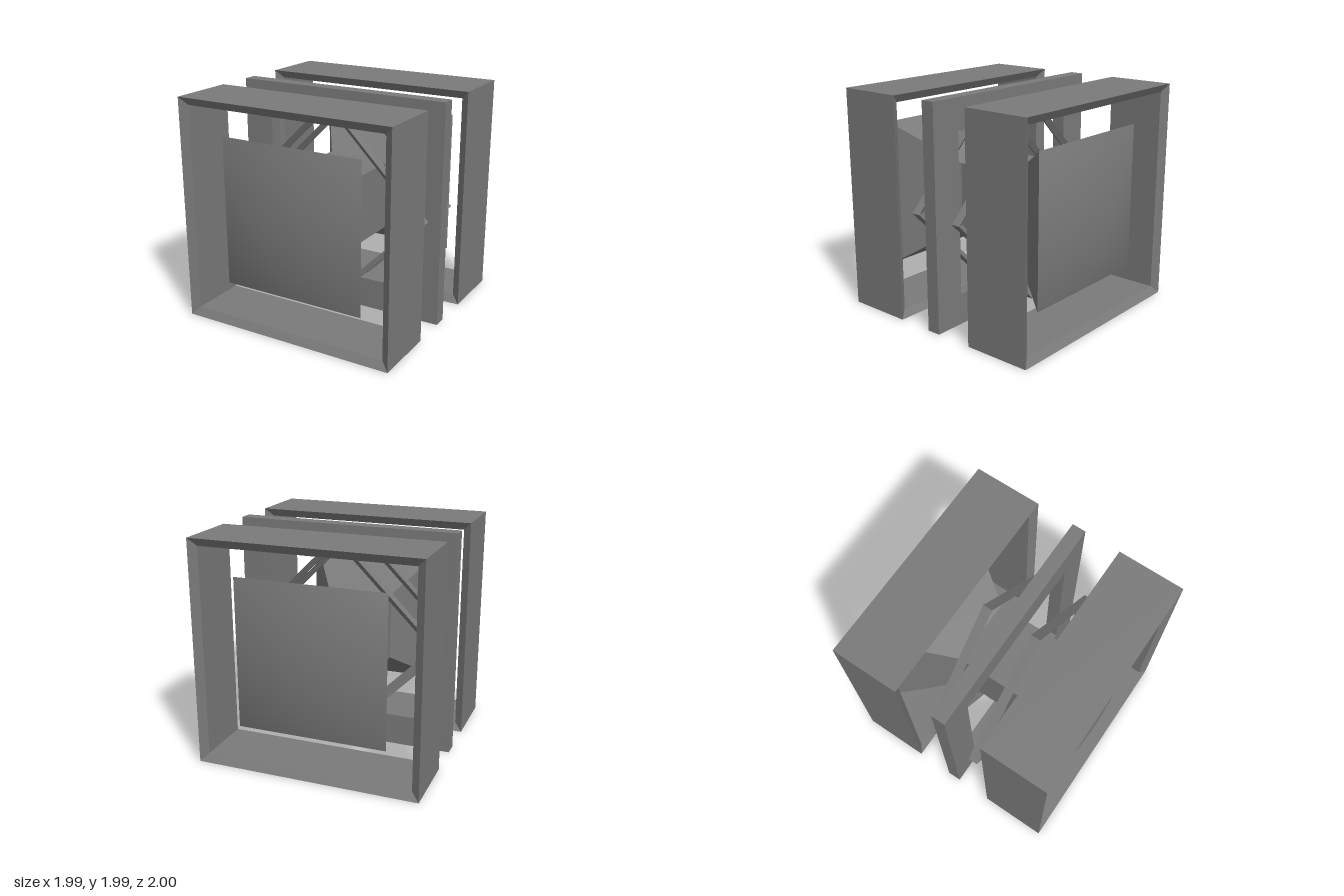
import * as THREE from 'three';

const CENTRE_Y = 0.995;
const PLATE_HALF = 0.667;
const PLATE_Z = 0.853;
const BULGE = 0.09;
const flat = new THREE.MeshStandardMaterial({ color: 0x7a7a7a, flatShading: true });
const smooth = new THREE.MeshStandardMaterial({ color: 0x7a7a7a });

// Spins [radius, z] points into a four-sided form about the z axis.
// An upright square takes half-widths, a diamond takes tip distances.
function squareLathe(name, points, upright) {
  const k = upright ? Math.SQRT2 : 1;
  const geometry = new THREE.LatheGeometry(points.map(([r, z]) => new THREE.Vector2(r * k, z)), 4);
  if (upright) geometry.rotateY(Math.PI / 4);
  geometry.rotateX(Math.PI / 2);
  const mesh = new THREE.Mesh(geometry, flat);
  mesh.name = name;
  return mesh;
}

// Square ring from z0 to z1 whose inner edges are chamfered by the given depth
function ring(name, outer, inner, z0, z1, chamfer, upright) {
  return squareLathe(name, [
    [outer, z0], [outer, z1], [inner, z1 - chamfer], [inner, z0 + chamfer], [outer, z0],
  ], upright);
}

// Square end plate with a flat rim, a gentle bulge and evenly fanned normals
function endPlate(name, side) {
  const geometry = new THREE.PlaneGeometry(PLATE_HALF * 2, PLATE_HALF * 2, 12, 12);
  const { position, normal } = geometry.attributes;
  for (let i = 0; i < position.count; i++) {
    const u = position.getX(i) / PLATE_HALF;
    const v = position.getY(i) / PLATE_HALF;
    position.setZ(i, BULGE * (1 - u * u) * (1 - v * v));
    const n = new THREE.Vector3(u * 0.24, v * 0.24, 1).normalize();
    normal.setXYZ(i, n.x, n.y, n.z);
  }
  const mesh = new THREE.Mesh(geometry, smooth);
  mesh.name = name;
  mesh.position.z = side * PLATE_Z;
  if (side < 0) mesh.rotation.y = Math.PI;
  return mesh;
}

export function createModel() {
  const model = new THREE.Group();
  model.name = 'nestedSquareFrames';

  // Deep end frames
  model.add(ring('frontFrame', 0.995, 0.925, 0.4, 1, 0.045, true));
  model.add(ring('backFrame', 0.995, 0.925, -1, -0.392, 0.045, true));

  // Wide flat frame in the middle
  model.add(ring('middleFrame', 0.995, 0.715, -0.052, 0.072, 0, true));

  // Thin diamond rings between the frames
  model.add(ring('frontDiamond', 0.94, 0.875, 0.199, 0.285, 0.035, false));
  model.add(ring('backDiamond', 0.94, 0.875, -0.263, -0.177, 0.035, false));

  // Square core flaring out towards a broad plate at each end
  model.add(squareLathe('flaredCore', [
    [PLATE_HALF, -PLATE_Z], [0.307, -0.305], [0.307, 0.31], [PLATE_HALF, PLATE_Z],
  ], true));
  model.add(endPlate('frontPlate', 1));
  model.add(endPlate('backPlate', -1));

  model.children.forEach((part) => { part.position.y = CENTRE_Y; });
  return model;
}
